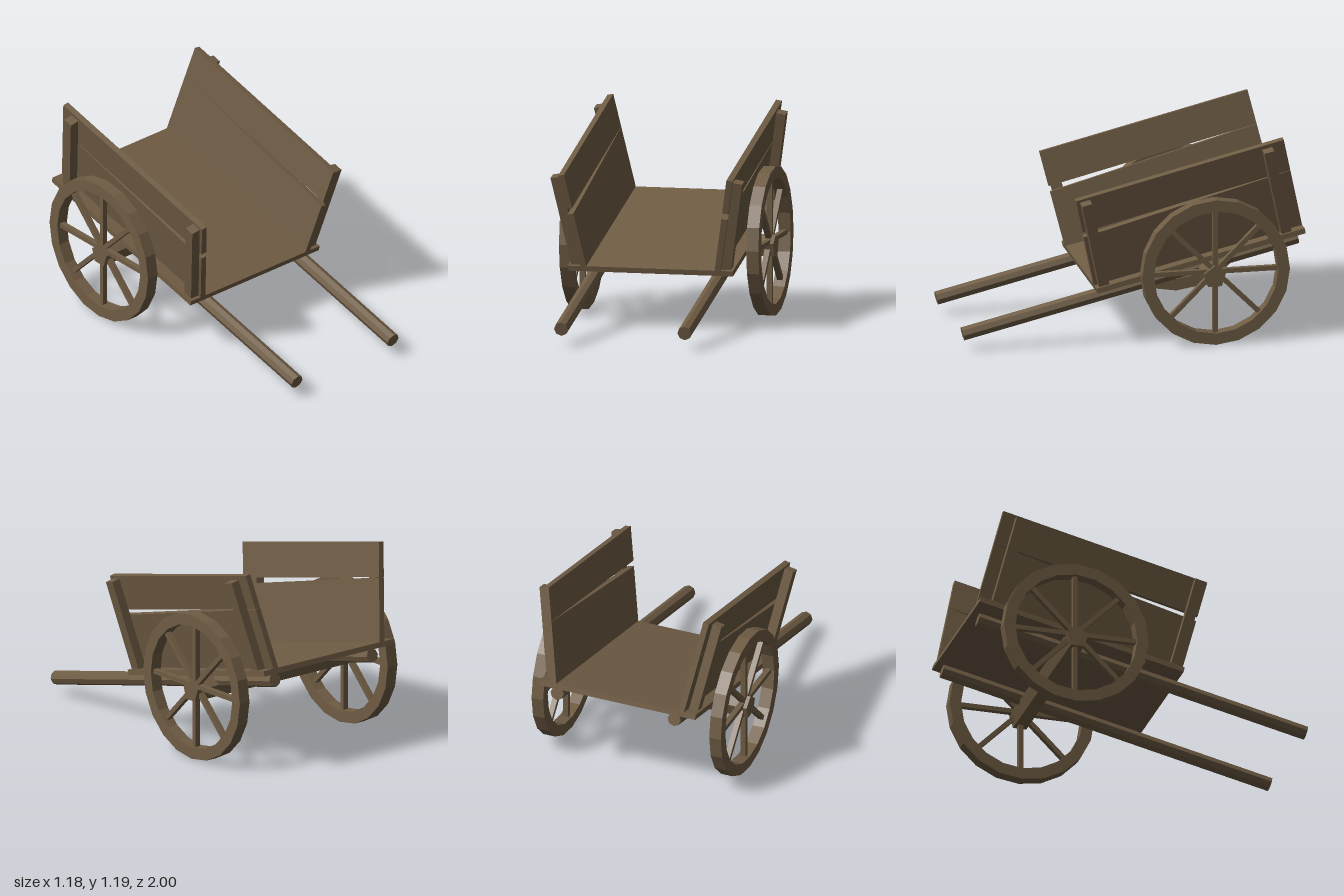
import * as THREE from 'three';

const wood = new THREE.MeshStandardMaterial({ color: 0x6f5c44, flatShading: true });
wood.name = 'brown wood';

function add(parent, name, geometry, x = 0, y = 0, z = 0) {
  const mesh = new THREE.Mesh(geometry, wood);
  mesh.name = name;
  mesh.position.set(x, y, z);
  parent.add(mesh);
  return mesh;
}

function ringPoints(radius, sides) {
  return Array.from({ length: sides }, (_, i) => {
    const a = (i / sides) * Math.PI * 2;
    return new THREE.Vector2(Math.cos(a) * radius, Math.sin(a) * radius);
  });
}

// Flat outline in the side plane (z, y), given thickness along x
function slab(points, thickness, hole) {
  const shape = new THREE.Shape(points);
  if (hole) shape.holes.push(new THREE.Path(hole));
  return new THREE.ExtrudeGeometry(shape, { depth: thickness, bevelEnabled: false })
    .translate(0, 0, -thickness / 2)
    .rotateY(-Math.PI / 2);
}

// Plank with separate heights at its rear and front ends
function plank(length, rearLow, rearHigh, frontLow, frontHigh, thickness) {
  return slab([
    new THREE.Vector2(-length, rearLow), new THREE.Vector2(0, frontLow),
    new THREE.Vector2(0, frontHigh), new THREE.Vector2(-length, rearHigh),
  ], thickness);
}

function createWheel() {
  const wheel = new THREE.Group();
  wheel.name = 'wheel';
  add(wheel, 'rim', slab(ringPoints(0.432, 20), 0.072, ringPoints(0.364, 20)));
  // Four bars crossing the centre make eight spokes
  for (let i = 0; i < 4; i++) {
    const spoke = add(wheel, 'spokePair', new THREE.BoxGeometry(0.032, 0.74, 0.027));
    spoke.rotation.x = (i * Math.PI) / 4;
  }
  return wheel;
}

export function createModel() {
  const cart = new THREE.Group();
  cart.name = 'handCart';

  // Tilted body, with its origin at the lower front edge of the bed
  const body = new THREE.Group();
  body.name = 'body';
  body.position.set(0.011, 0.322, 0.22);
  body.rotation.x = 0.2305;
  cart.add(body);

  const length = 1.25;
  add(body, 'bed', new THREE.BoxGeometry(0.97, 0.031, length), 0, 0.0155, -length / 2);

  for (const s of [-1, 1]) {
    // Long pole under the bed, reaching forward as a handle
    const pole = new THREE.CylinderGeometry(0.041, 0.041, 2.01, 8).rotateX(Math.PI / 2);
    add(body, 'handlePole', pole, 0.02 + s * 0.363, -0.04, -0.205);

    // Side wall leaning outward, two planks with a tapering gap
    const wall = new THREE.Group();
    wall.name = 'sideWall';
    wall.position.set(s * 0.378, 0.031, 0);
    wall.rotation.z = -s * 0.177;
    body.add(wall);
    add(wall, 'lowerPlank', plank(length, 0, 0.371, 0, 0.327, 0.035), s * 0.0175);
    add(wall, 'upperPlank', plank(length, 0.373, 0.575, 0.361, 0.568, 0.035), s * 0.0175);
    for (const z of [-0.05, -1.145]) {
      add(wall, 'post', new THREE.BoxGeometry(0.055, 0.552, 0.06), s * 0.0625, 0.276, z);
    }

    // Wheel
    const wheel = createWheel();
    wheel.position.set(s * 0.551, 0.433, -0.453);
    cart.add(wheel);
  }

  // Five-sided axle whose ends form the hubs
  const axle = new THREE.CylinderGeometry(0.067, 0.067, 1.178, 5)
    .rotateZ(Math.PI / 2)
    .rotateX(-Math.PI / 2);
  add(cart, 'axle', axle, 0, 0.405, -0.446);

  return cart;
}
